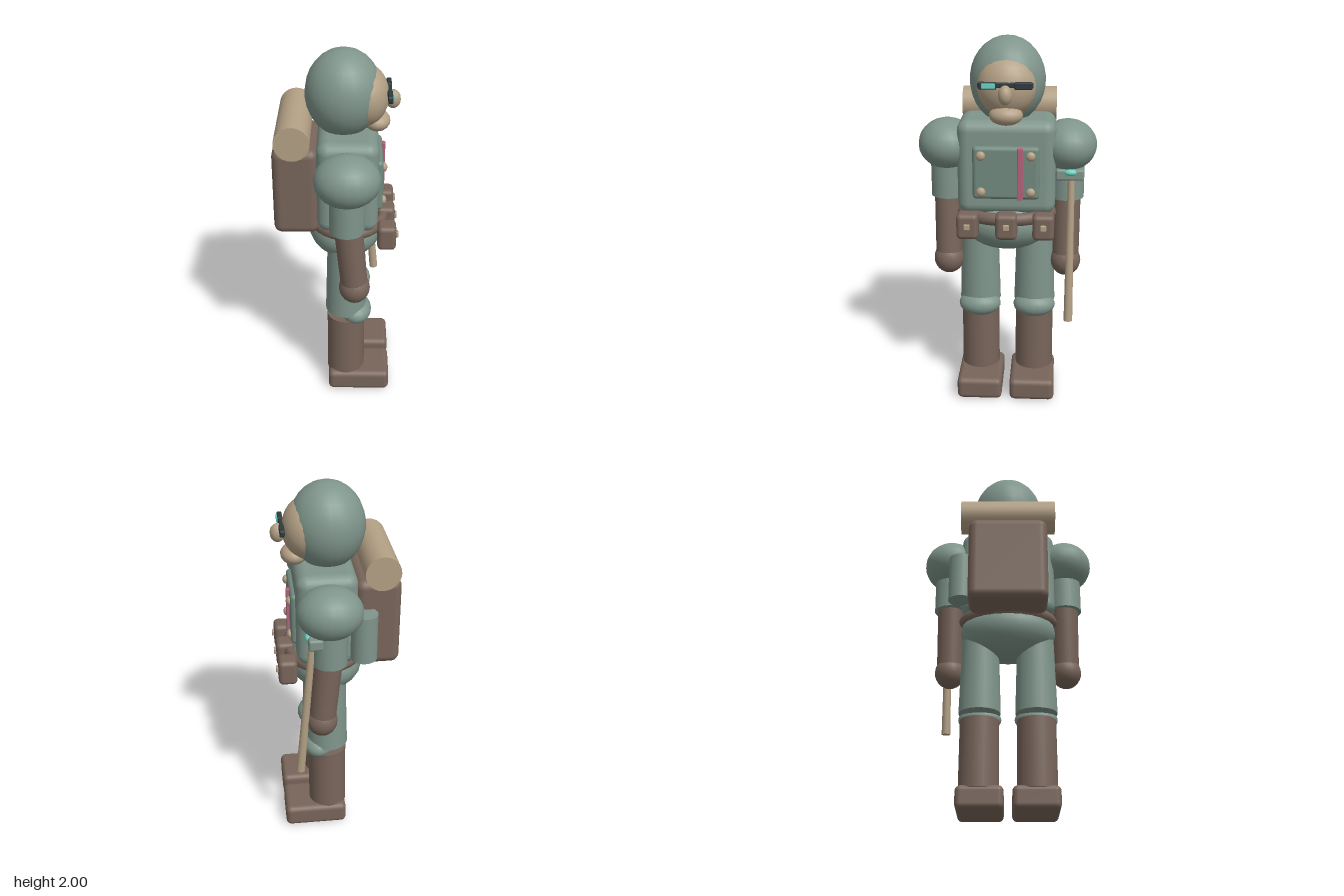
import * as THREE from 'three';
import { RoundedBoxGeometry } from 'three/addons/geometries/RoundedBoxGeometry.js';

const mat = (name, color) => {
  const m = new THREE.MeshStandardMaterial({ color });
  m.name = name;
  return m;
};

export function createModel() {
  const cloth = mat('grey green cloth', 0x7f958b);
  const plate = mat('dark green plate', 0x738a80);
  const leather = mat('brown leather', 0x78655a);
  const tan = mat('tan', 0xb3a085);
  const teal = mat('teal glass', 0x6cd3c2);
  const pink = mat('rose stripe', 0xb4627e);
  const dark = mat('dark frame', 0x2f3a3d);

  // The figure is built facing +z, then turned.
  const figure = new THREE.Group();
  figure.name = 'figure';

  const add = (name, geo, material, x, y, z) => {
    const mesh = new THREE.Mesh(geo, material);
    mesh.name = name;
    mesh.position.set(x, y, z);
    figure.add(mesh);
    return mesh;
  };
  const ball = (name, m, [x, y, z], [rx, ry, rz], seg = 20) =>
    add(name, new THREE.SphereGeometry(1, seg, Math.round(seg * 0.7)).scale(rx, ry, rz), m, x, y, z);
  const box = (name, m, [x, y, z], [w, h, d], r) =>
    add(name, new RoundedBoxGeometry(w, h, d, 3, r), m, x, y, z);
  // Round bar between two points
  const rod = (name, m, a, b, ra, rb = ra) => {
    const p = new THREE.Vector3(...a), q = new THREE.Vector3(...b);
    const mid = p.clone().add(q).multiplyScalar(0.5);
    const mesh = add(name, new THREE.CylinderGeometry(rb, ra, p.distanceTo(q), 24), m, mid.x, mid.y, mid.z);
    mesh.quaternion.setFromUnitVectors(new THREE.Vector3(0, 1, 0), q.sub(p).normalize());
    return mesh;
  };

  // Torso and hips
  box('torso', cloth, [0, 1.33, 0.04], [0.52, 0.51, 0.32], 0.06);
  ball('hips', cloth, [0, 1.0, 0.03], [0.265, 0.16, 0.205], 24);
  const belt = add('belt', new THREE.TorusGeometry(0.245, 0.034, 10, 32).rotateX(Math.PI / 2), leather, 0, 1.065, 0.04);
  belt.scale.set(1, 1, 0.8);

  // Chest panel with rivets and stripe
  box('chestPanel', plate, [0, 1.315, 0.2], [0.35, 0.285, 0.05], 0.022);
  for (const x of [-0.13, 0.13])
    for (const y of [1.215, 1.41]) ball('rivet', tan, [x, y, 0.228], [0.025, 0.025, 0.018], 12);
  box('chestStripe', pink, [0.075, 1.315, 0.232], [0.03, 0.28, 0.018], 0.004);

  // Belt pouches
  for (const x of [-0.2, 0.005, 0.2]) {
    box('pouch', leather, [x, 1.04, 0.25], [0.115, 0.14, 0.1], 0.025);
    box('pouchButton', tan, [x, 1.045, 0.303], [0.032, 0.032, 0.018], 0.005);
  }

  // Legs and arms
  for (const s of [-1, 1]) {
    const x = s * 0.153, ax = s * 0.323;
    rod('thigh', cloth, [x, 0.53, 0.035], [x, 0.96, 0.035], 0.114, 0.102);
    ball('knee', cloth, [x, 0.515, 0.09], [0.117, 0.07, 0.088]);
    rod('boot', leather, [x, 0.11, 0.035], [x, 0.49, 0.035], 0.107, 0.105);
    box('foot', leather, [s * 0.147, 0.0625, 0.111], [0.25, 0.125, 0.35], 0.03);

    ball('shoulder', cloth, [ax, 1.43, 0.038], [0.155, 0.137, 0.172], 20);
    rod('sleeve', cloth, [ax, 1.142, 0.038], [ax, 1.4, 0.038], 0.092);
    rod('forearm', leather, [ax, 0.79, 0.08], [ax, 1.16, 0.045], 0.072, 0.075);
    ball('hand', leather, [ax, 0.785, 0.08], [0.083, 0.088, 0.083]);
  }

  // Head: hood, face, nose and chin
  ball('hood', cloth, [0, 1.77, 0.017], [0.2, 0.23, 0.2], 22);
  ball('face', tan, [0, 1.755, 0.125], [0.155, 0.16, 0.125], 22);
  ball('nose', tan, [0, 1.735, 0.27], [0.036, 0.05, 0.04], 14);
  ball('chin', tan, [0, 1.617, 0.19], [0.088, 0.052, 0.07], 18);

  // Eyewear
  box('eyewearBar', dark, [0, 1.782, 0.25], [0.28, 0.024, 0.022], 0.004);
  for (const s of [-1, 1]) box('eyewearFrame', dark, [s * 0.09, 1.78, 0.253], [0.09, 0.036, 0.024], 0.005);
  box('eyewearLens', teal, [-0.085, 1.78, 0.267], [0.068, 0.026, 0.009], 0.003);

  // Backpack, bedroll and canteen
  box('backpack', leather, [0, 1.288, -0.23], [0.43, 0.487, 0.24], 0.045);
  rod('bedroll', tan, [-0.26, 1.595, -0.24], [0.26, 1.595, -0.24], 0.092);
  rod('canteen', cloth, [0.258, 1.12, -0.148], [0.258, 1.38, -0.148], 0.07);

  // Staff with its head block and gem
  rod('staff', tan, [0.343, 0.47, 0.203], [0.343, 1.27, 0.13], 0.024, 0.018);
  box('staffHead', cloth, [0.335, 1.29, 0.115], [0.15, 0.06, 0.075], 0.012);
  ball('staffGem', teal, [0.338, 1.305, 0.148], [0.034, 0.018, 0.02], 14);

  figure.rotation.y = Math.PI * 0.75;
  const model = new THREE.Group();
  model.name = 'explorer';
  model.add(figure);
  return model;
}
